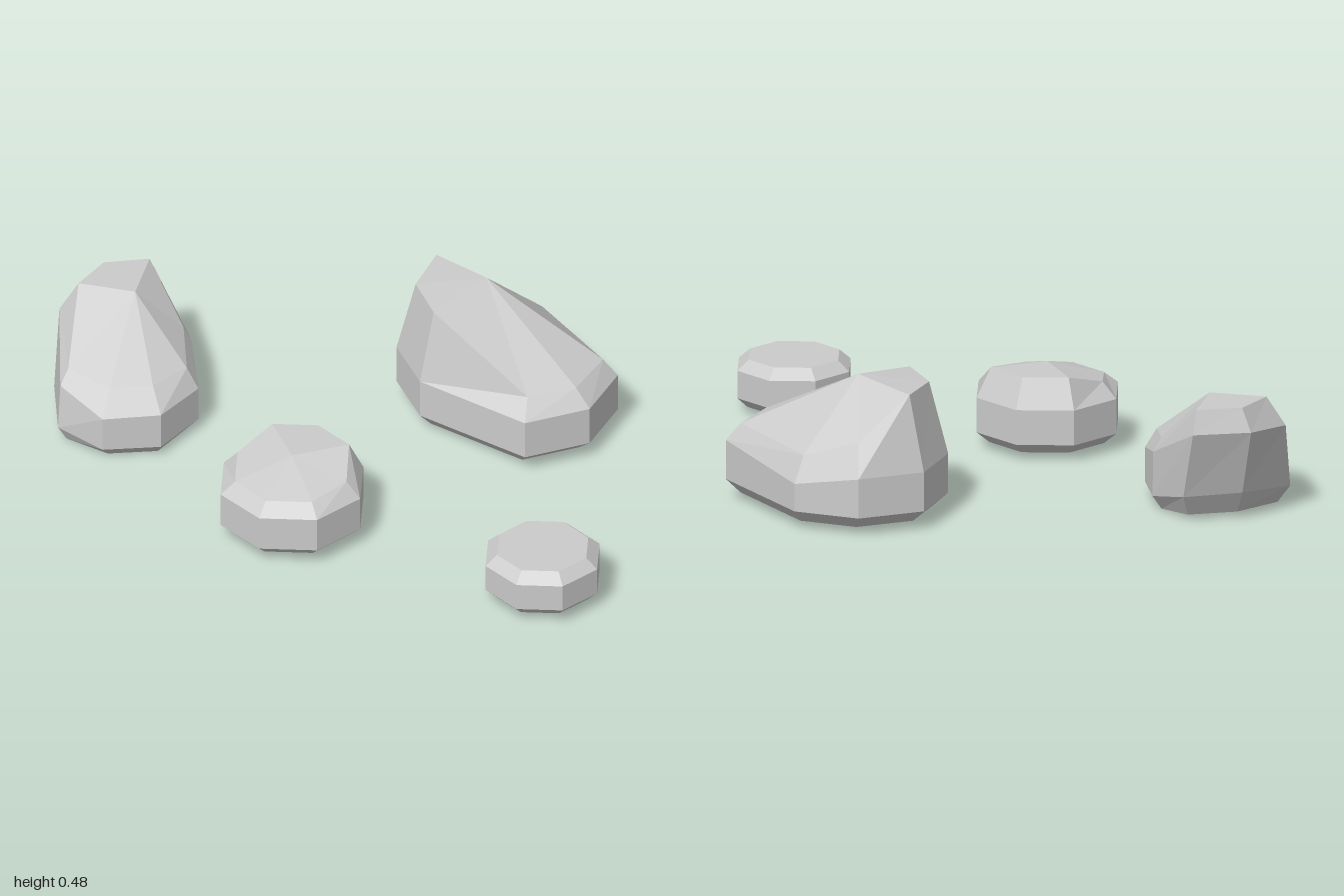
import * as THREE from 'three';

const material = new THREE.MeshStandardMaterial({ color: 0xcccccc, flatShading: true });

// Skin stacked 8-point rings (bottom to top), closed by a base point and a peak.
function makeRock(name, rings, base, peak) {
  const n = rings[0].length;
  const points = [...rings.flat(), base, peak];
  const baseId = rings.length * n, peakId = baseId + 1;
  const index = [];
  for (let i = 0; i < n; i++) {
    const j = (i + 1) % n;
    for (let r = 0; r < rings.length - 1; r++) {
      const lo = r * n, hi = lo + n;
      index.push(lo + j, lo + i, hi + i, lo + j, hi + i, hi + j);
    }
    const top = (rings.length - 1) * n;
    index.push(baseId, i, j, peakId, top + j, top + i);
  }
  const indexed = new THREE.BufferGeometry();
  indexed.setAttribute('position', new THREE.Float32BufferAttribute(points.flat(), 3));
  indexed.setIndex(index);
  const geometry = indexed.toNonIndexed();
  geometry.computeVertexNormals();
  const mesh = new THREE.Mesh(geometry, material);
  mesh.name = name;
  return mesh;
}

// Octagon ring; y may be one height or a list of eight.
function octagon(cx, cz, radius, y) {
  return Array.from({ length: 8 }, (_, i) => {
    const a = i * Math.PI / 4;
    return [cx + radius * Math.cos(a), Array.isArray(y) ? y[i] : y, cz + radius * Math.sin(a)];
  });
}

// Copy a ring at a new height, pulled toward a centre.
const inset = (ring, cx, cz, s, y) =>
  ring.map(([x, , z]) => [cx + (x - cx) * s, y, cz + (z - cz) * s]);

export function createModel() {
  const group = new THREE.Group();
  group.name = 'rocks';

  // Flat pebble at the front
  group.add(makeRock('pebble', [
    octagon(0.32, 0.79, 0.165, 0.022),
    octagon(0.32, 0.79, 0.2, 0.055),
    octagon(0.32, 0.79, 0.2, 0.15),
    octagon(0.32, 0.79, 0.16, 0.185),
  ], [0.32, 0.022, 0.79], [0.32, 0.185, 0.79]));

  // Medium stone, raised toward its back left
  group.add(makeRock('mediumStone', [
    octagon(-0.33, 0.14, 0.205, 0.022),
    octagon(-0.33, 0.14, 0.25, 0.06),
    octagon(-0.33, 0.14, 0.25, 0.18),
    octagon(-0.33, 0.14, 0.2, [0.28, 0.235, 0.22, 0.22, 0.22, 0.235, 0.28, 0.28]),
  ], [-0.33, 0.022, 0.14], [-0.33, 0.28, 0.14]));

  // Large boulder with a ridge on its right
  const belt = [
    [0.885, 0.2, -0.07], [0.73, 0.2, 0.09], [0.5, 0.2, 0.1], [0.255, 0.2, -0.25],
    [0.25, 0.2, -0.47], [0.4, 0.2, -0.64], [0.63, 0.2, -0.64], [0.8, 0.16, -0.49],
  ];
  group.add(makeRock('boulder', [
    inset(belt, 0.56, -0.29, 0.87, 0.022),
    inset(belt, 0.56, -0.29, 1, 0.065),
    belt,
    [
      [0.84, 0.26, -0.09], [0.7, 0.26, 0.04], [0.53, 0.26, 0.04], [0.31, 0.45, -0.27],
      [0.31, 0.45, -0.45], [0.43, 0.455, -0.585], [0.61, 0.31, -0.585], [0.76, 0.25, -0.47],
    ],
  ], [0.56, 0.022, -0.29], [0.53, 0.477, -0.37]));

  // Leaning rock that overhangs at the back
  group.add(makeRock('leaningRock', [
    [
      [-0.42, 0, -0.69], [-0.46, 0, -0.53], [-0.6, 0, -0.43], [-0.76, 0, -0.47],
      [-0.86, 0, -0.6], [-0.8, 0.005, -0.77], [-0.62, 0.02, -0.87], [-0.46, 0.015, -0.83],
    ],
    [
      [-0.385, 0.05, -0.7], [-0.43, 0.04, -0.51], [-0.6, 0.035, -0.4], [-0.79, 0.04, -0.44],
      [-0.89, 0.05, -0.6], [-0.83, 0.07, -0.81], [-0.62, 0.1, -0.92], [-0.43, 0.09, -0.87],
    ],
    [
      [-0.38, 0.21, -0.72], [-0.43, 0.16, -0.51], [-0.6, 0.16, -0.4], [-0.79, 0.16, -0.44],
      [-0.875, 0.2, -0.62], [-0.78, 0.31, -0.9], [-0.62, 0.33, -1], [-0.43, 0.33, -0.96],
    ],
    [
      [-0.405, 0.26, -0.73], [-0.46, 0.23, -0.54], [-0.6, 0.23, -0.48], [-0.74, 0.23, -0.51],
      [-0.84, 0.25, -0.64], [-0.72, 0.41, -0.88], [-0.6, 0.41, -0.97], [-0.45, 0.41, -0.94],
    ],
  ], [-0.62, 0, -0.64], [-0.56, 0.41, -0.77]));

  return group;
}
